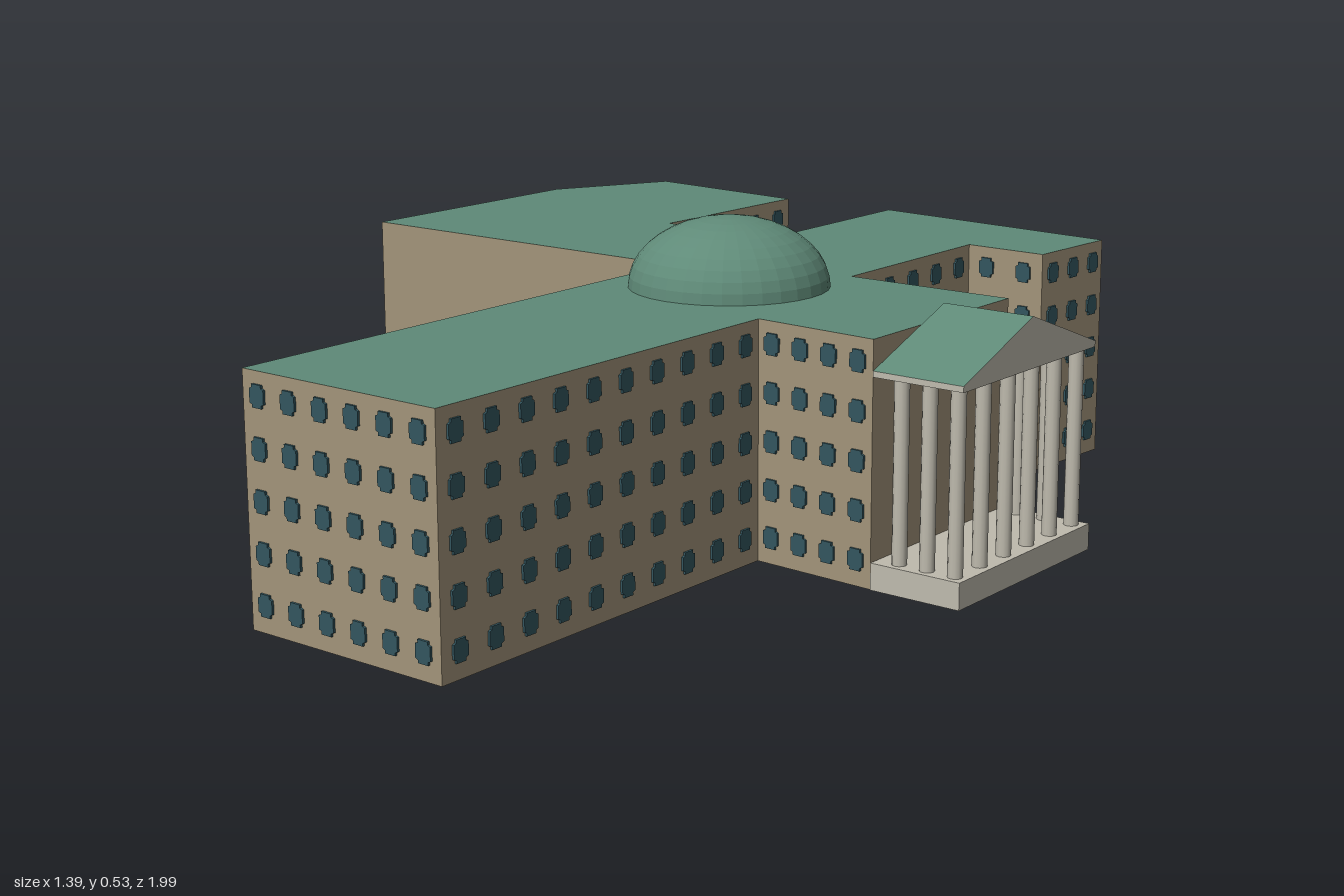
import * as THREE from 'three';
import { mergeGeometries } from 'three/addons/utils/BufferGeometryUtils.js';

const HEIGHT = 0.407;

// Footprint corners (x, z), clockwise from above, with the number of window
// columns on the wall that runs to the next corner.
const FOOTPRINT = [
  [-0.19, -1.0, 5], [0.083, -0.79, 5], [-0.135, -0.485, 3], [0.073, -0.347, 0],
  [0.29, -0.672, 6], [0.692, -0.365, 3], [0.573, -0.21, 2], [0.442, -0.3, 5],
  [0.23, 0.018, 4], [0.495, 0.187, 0], [0.274, 0.515, 4], [0.088, 0.378, 10],
  [-0.325, 0.993, 6], [-0.653, 0.773, 13], [-0.095, -0.068, 0], [-0.697, -0.46, 6],
  [-0.41, -0.878, 4],
];

function material(name, color, flatShading = false) {
  const m = new THREE.MeshStandardMaterial({ color, flatShading });
  m.name = name;
  return m;
}

function addMesh(parent, name, geometry, mat) {
  const mesh = new THREE.Mesh(geometry, mat);
  mesh.name = name;
  parent.add(mesh);
  return mesh;
}

// Flat polygon of the footprint, facing up or down
function footprintCap(up) {
  const s = up ? -1 : 1;
  const shape = new THREE.Shape(FOOTPRINT.map(([x, z]) => new THREE.Vector2(x, s * z)));
  return new THREE.ShapeGeometry(shape).rotateX(s * Math.PI / 2);
}

// Window outline: tall pane with wider middle
function windowGeometry() {
  const quarter = [[0.015, 0.011], [0.010, 0.013], [0.010, 0.018]];
  const right = [...quarter.map(([x, y]) => [x, -y]).reverse(), ...quarter];
  const left = right.map(([x, y]) => [-x, y]).reverse();
  const shape = new THREE.Shape([...right, ...left].map(([x, y]) => new THREE.Vector2(x, y)));
  return new THREE.ExtrudeGeometry(shape, { depth: 0.004, bevelEnabled: false });
}

export function createModel() {
  const wall = material('tan wall', 0xa3947a);
  const roof = material('green roof', 0x5f8a78, true);
  const glass = material('dark teal window', 0x33565f);
  const stone = material('pale stone', 0xbfbbae);

  const model = new THREE.Group();
  model.name = 'building';

  // Roof and underside
  addMesh(model, 'mainRoof', footprintCap(true), roof).position.y = HEIGHT;
  addMesh(model, 'underside', footprintCap(false), stone);

  // Walls with five rows of windows
  const pane = windowGeometry();
  FOOTPRINT.forEach(([x, z, columns], i) => {
    const [x2, z2] = FOOTPRINT[(i + 1) % FOOTPRINT.length];
    const length = Math.hypot(x2 - x, z2 - z);
    const facade = new THREE.Group();
    facade.name = 'facade';
    facade.position.set((x + x2) / 2, 0, (z + z2) / 2);
    facade.rotation.y = Math.atan2(z2 - z, x - x2);
    model.add(facade);
    addMesh(facade, 'wall', new THREE.PlaneGeometry(length, HEIGHT).translate(0, HEIGHT / 2, 0), wall);
    const panes = [];
    for (let c = 0; c < columns; c++) {
      for (let r = 0; r < 5; r++) {
        panes.push(pane.clone().translate(((c + 0.5) / columns - 0.5) * length, 0.045 + r * 0.081, 0));
      }
    }
    if (panes.length) addMesh(facade, 'windows', mergeGeometries(panes), glass);
  });

  // Flattened dome
  const dome = new THREE.SphereGeometry(0.174, 32, 10, 0, Math.PI * 2, 0, Math.PI / 2);
  dome.scale(1, 0.12 / 0.174, 1);
  addMesh(model, 'dome', dome, roof).position.set(0.022, HEIGHT, 0.11);

  // Portico: local z points away from the building
  const W = 0.4, D = 0.166, FLOOR = 0.045, EAVE = 0.357;
  const portico = new THREE.Group();
  portico.name = 'portico';
  portico.position.set(0.385, 0, 0.351);
  portico.rotation.y = Math.atan2(0.832, 0.555);
  model.add(portico);
  addMesh(portico, 'plinth', new THREE.BoxGeometry(W, FLOOR, D).translate(0, FLOOR / 2, D / 2), stone);
  addMesh(portico, 'architrave', new THREE.BoxGeometry(W, 0.01, D).translate(0, EAVE - 0.005, D / 2), stone);

  // Pediment with stone gables and green slopes
  const gable = new THREE.Shape([
    new THREE.Vector2(-W / 2, EAVE), new THREE.Vector2(W / 2, EAVE), new THREE.Vector2(0, 0.432),
  ]);
  addMesh(portico, 'pediment', new THREE.ExtrudeGeometry(gable, { depth: D, bevelEnabled: false }), [stone, roof]);

  // Six front columns and two more along each side
  const spots = [];
  const edge = W / 2 - 0.022;
  for (let i = 0; i < 6; i++) spots.push([-edge + i * edge * 2 / 5, D - 0.022]);
  for (const side of [-1, 1]) for (const z of [0.04, 0.092]) spots.push([side * edge, z]);
  const shaft = new THREE.CylinderGeometry(0.0125, 0.0125, EAVE - FLOOR, 12);
  for (const [x, z] of spots) {
    addMesh(portico, 'column', shaft, stone).position.set(x, (EAVE + FLOOR) / 2, z);
  }
  return model;
}
